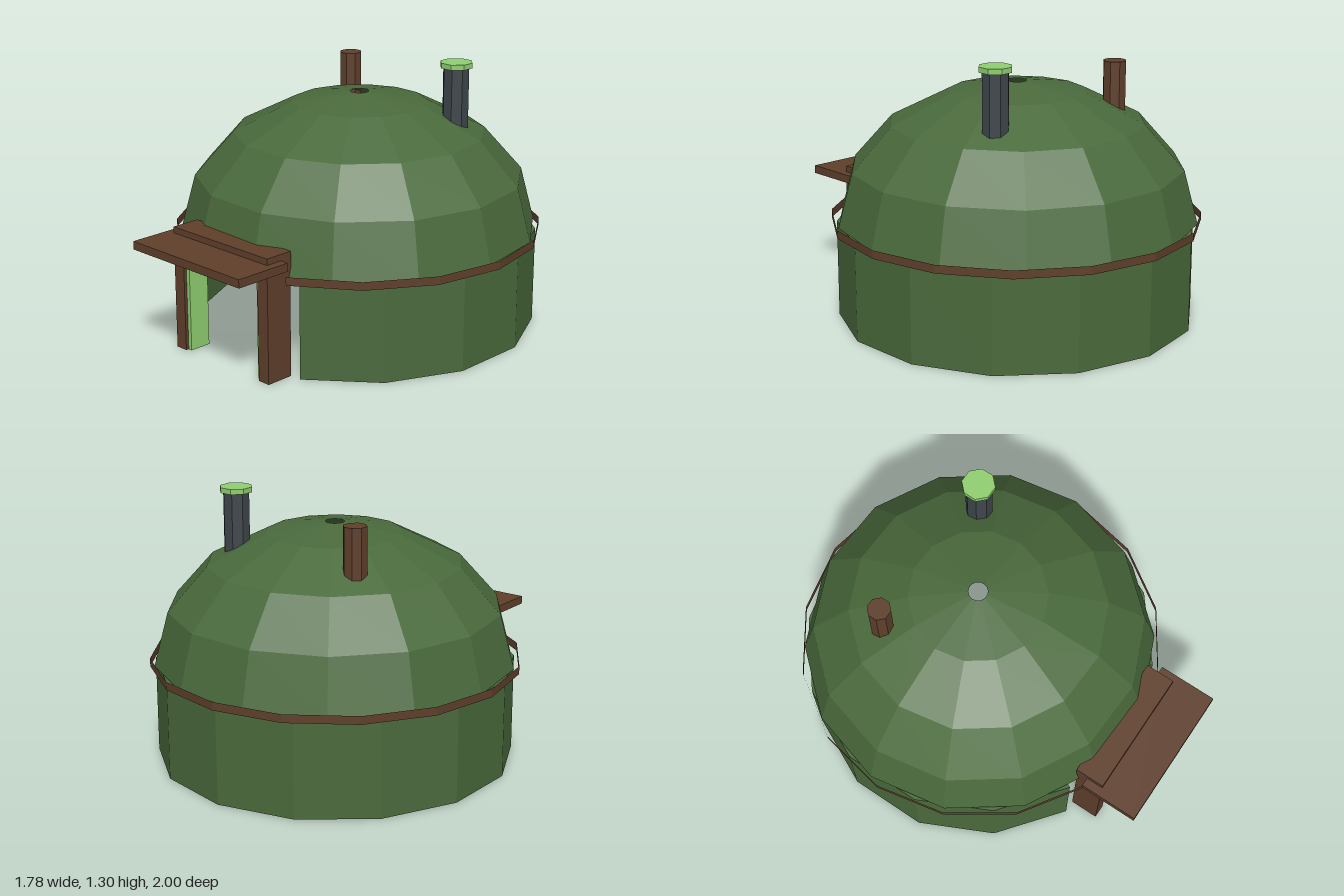
import * as THREE from 'three';

const flat = (name, color, side = THREE.FrontSide) =>
  new THREE.MeshStandardMaterial({ name, color, side, flatShading: true });

export function createModel() {
  const green = flat('forest green', 0x4a6a3c, THREE.DoubleSide);
  const brown = flat('wood brown', 0x5f3f2b, THREE.DoubleSide);
  const lime = flat('light green', 0x8fce70);
  const grey = flat('pipe grey', 0x3e464a);

  const model = new THREE.Group();
  model.name = 'roundHut';
  const CZ = -0.12; // centre of the round body

  const add = (name, geometry, material, x = 0, y = 0, z = 0) => {
    const mesh = new THREE.Mesh(geometry, material);
    mesh.name = name;
    mesh.position.set(x, y, z);
    model.add(mesh);
    return mesh;
  };
  // box given by its limits
  const block = (name, material, x0, x1, y0, y1, z0, z1) =>
    add(name, new THREE.BoxGeometry(x1 - x0, y1 - y0, z1 - z0), material,
      (x0 + x1) / 2, (y0 + y1) / 2, (z0 + z1) / 2);

  // thick wall: a 14-sided ring with two sides left open for the doorway
  const step = (Math.PI * 2) / 14;
  const ringPoint = (r, i) =>
    new THREE.Vector2(r * Math.sin(i * step), -r * Math.cos(i * step));
  const outline = [];
  for (let i = 1; i <= 13; i++) outline.push(ringPoint(0.861, i));
  for (let i = 13; i >= 1; i--) outline.push(ringPoint(0.79, i));
  const wall = new THREE.ExtrudeGeometry(new THREE.Shape(outline), { depth: 0.47, bevelEnabled: false });
  wall.rotateX(-Math.PI / 2);
  add('wall', wall, green, 0, 0, CZ);

  // faceted dome shell with a small smoke hole
  const profile = [90, 67, 44.7, 22.1, 3].map((deg) => {
    const a = THREE.MathUtils.degToRad(deg);
    return new THREE.Vector2(0.865 * Math.sin(a), 0.48 + 0.66 * Math.cos(a));
  });
  add('dome', new THREE.LatheGeometry(profile, 14, THREE.MathUtils.degToRad(10)), green, 0, 0, CZ);

  // thin wooden band around the eaves, open at the doorway
  add('eavesBand', new THREE.CylinderGeometry(0.888, 0.888, 0.04, 14, 1, true,
    Math.PI / 8, Math.PI * 1.75), brown, 0, 0.478, CZ + 0.006);

  // door frame with an inner lining
  for (const s of [-1, 1]) {
    const side = s > 0 ? 'left' : 'right';
    block(side + 'DoorPost', brown, s * 0.283 - 0.032, s * 0.283 + 0.032, 0, 0.53, 0.655, 0.795);
    block(side + 'DoorLining', lime, s * 0.241 - 0.011, s * 0.241 + 0.011, 0, 0.505, 0.67, 0.78);
  }
  block('doorLintel', brown, -0.315, 0.315, 0.505, 0.6, 0.65, 0.795);
  block('topDoorLining', lime, -0.23, 0.23, 0.48, 0.505, 0.67, 0.78);
  block('doorCanopy', brown, -0.357, 0.357, 0.53, 0.57, 0.71, 1.0);

  // eight-sided pipes through the roof
  const pipe = (name, material, r, y0, y1, x, z) =>
    add(name, new THREE.CylinderGeometry(r, r, y1 - y0, 8).rotateY(Math.PI / 8),
      material, x, (y0 + y1) / 2, z);
  pipe('woodenVent', brown, 0.056, 0.93, 1.23, -0.347, -0.42);
  pipe('chimneyPipe', grey, 0.064, 0.9, 1.28, 0.385, -0.377);
  pipe('chimneyCap', lime, 0.079, 1.275, 1.3, 0.385, -0.377);

  return model;
}
